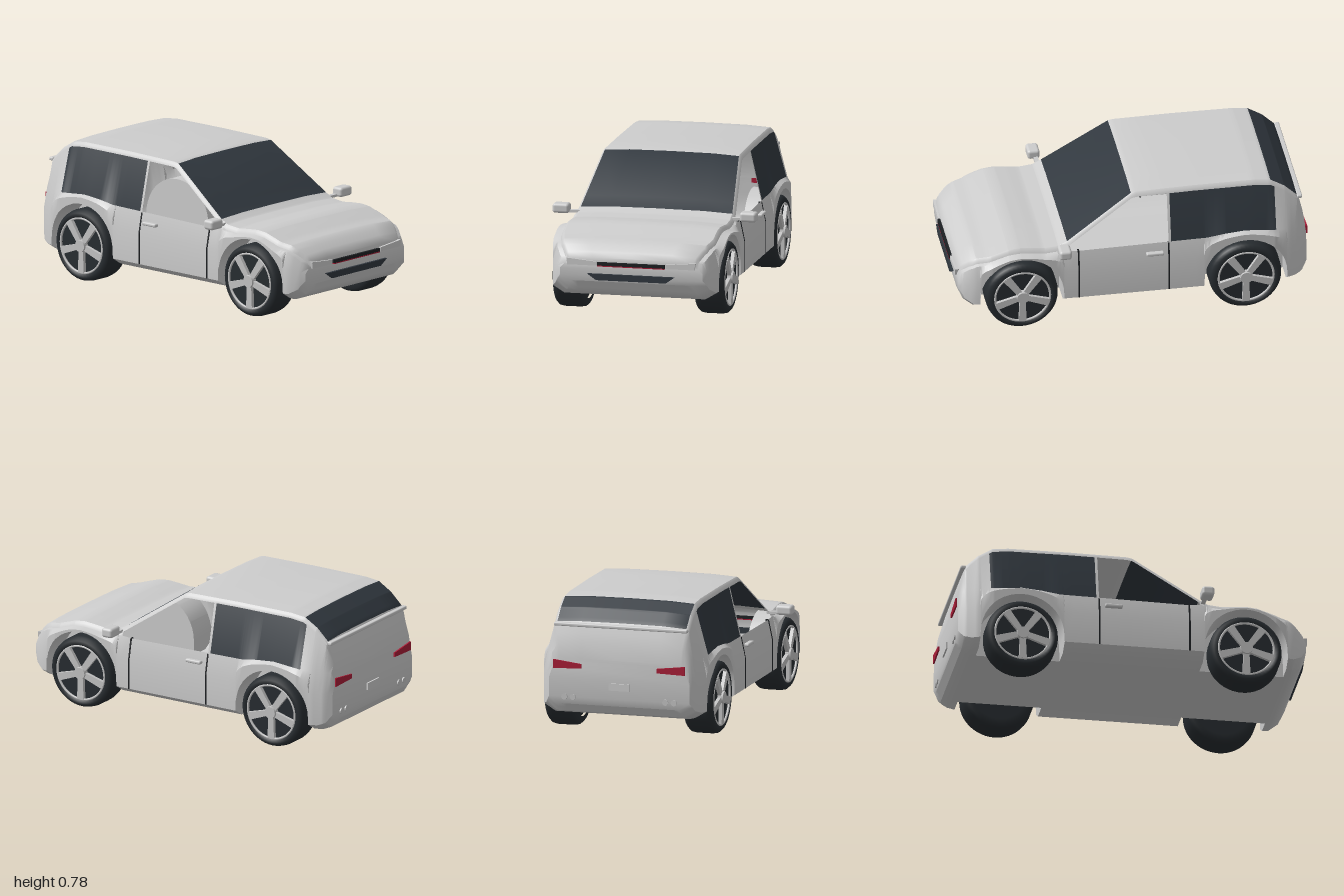
import * as THREE from 'three';
import { toCreasedNormals } from 'three/addons/utils/BufferGeometryUtils.js';
import { RoundedBoxGeometry } from 'three/addons/geometries/RoundedBoxGeometry.js';

const mat = (name, color, side = THREE.FrontSide) => {
  const m = new THREE.MeshStandardMaterial({ color, side });
  m.name = name;
  return m;
};

// Piecewise linear lookup in [x, value] pairs
const lookup = (table, x) => {
  if (x <= table[0][0]) return table[0][1];
  for (let i = 1; i < table.length; i++) {
    const [x0, v0] = table[i - 1], [x1, v1] = table[i];
    if (x <= x1) return v0 + (v1 - v0) * (x - x0) / (x1 - x0);
  }
  return table[table.length - 1][1];
};

// Body curves along the length: top line, half width, roof edge, belt line, bottom
const TOP = [[-0.99, 0.45], [-0.975, 0.54], [-0.95, 0.625], [-0.94, 0.655], [-0.87, 0.722], [-0.79, 0.77],
  [-0.7, 0.78], [-0.35, 0.781], [-0.03, 0.776], [0, 0.77], [0.37, 0.52], [0.42, 0.495], [0.5, 0.487], [0.57, 0.495],
  [0.64, 0.5], [0.7, 0.494], [0.76, 0.475], [0.82, 0.455], [0.88, 0.443], [0.92, 0.42], [0.96, 0.385], [0.98, 0.355]];
const WIDTH = [[-0.99, 0.41], [-0.95, 0.445], [-0.88, 0.475], [-0.8, 0.49], [0.8, 0.49], [0.9, 0.468], [0.95, 0.44], [0.98, 0.41]];
const ROOF = [[-0.99, 0.37], [-0.94, 0.395], [0, 0.402], [0.37, 0.452], [0.8, 0.445], [0.9, 0.42], [0.98, 0.37]];
const BELT = [[-0.9, 0.472], [-0.75, 0.485], [-0.635, 0.495], [-0.52, 0.485], [-0.42, 0.47], [0.3, 0.46], [0.37, 0.465]];
const BOTTOM = [[-0.99, 0.19], [-0.96, 0.145], [-0.92, 0.13], [0.9, 0.13], [0.95, 0.16], [0.98, 0.22]];
const AXLES = [-0.635, 0.63], ARCH = 0.235, ARCH_Y = 0.21;

// Half cross-section [z, y], from floor centre round to roof centre
function section(x) {
  const top = lookup(TOP, x), w = lookup(WIDTH, x), r = lookup(ROOF, x);
  const belt = Math.min(lookup(BELT, x), top - 0.04), base = lookup(BOTTOM, x);
  const axle = AXLES.find((a) => Math.abs(x - a) <= ARCH + 1e-6);
  const inArch = axle !== undefined;
  const low = inArch ? ARCH_Y + Math.sqrt(Math.max(0, ARCH ** 2 - (x - axle) ** 2)) : base;
  const sill = low + Math.min(0.04, (belt - low) * 0.3);
  return [[0, base], [0.31, base], [0.31, low], [inArch ? w : w - 0.065, low], [w, sill],
    [w, sill + (belt - sill) * 0.6], [w - 0.025, belt], [r, top - 0.035], [r - 0.007, top - 0.02],
    [r - 0.018, top - 0.01], [r * 0.6, top - 0.002], [0, top]];
}
const BELT_STRIP = 6, TOP_STRIP = 9;

function shellGeometry() {
  let xs = [...TOP, ...WIDTH, ...BOTTOM, ...BELT].map((k) => k[0]).concat([-0.81, -0.215, -0.2]);
  for (const a of AXLES) {
    xs.push(a - ARCH - 0.002, a + ARCH + 0.002);
    for (let i = 0; i <= 20; i++) xs.push(a - ARCH * Math.cos(Math.PI * i / 20));
  }
  xs = xs.sort((a, b) => a - b).filter((x, i, all) => i === 0 || x - all[i - 1] > 0.0005);
  const pos = [], body = [], glass = [], half = section(0).length, n = half * 2;
  for (const x of xs) {
    const s = section(x);
    for (const [z, y] of s) pos.push(x, y, z);
    for (const [z, y] of [...s].reverse()) pos.push(x, y, -z);
  }
  const quad = (list, a, b, c, d) => list.push(a, b, c, a, c, d);
  for (let i = 0; i < xs.length - 1; i++) {
    const x = (xs[i] + xs[i + 1]) / 2;
    for (let j = 0; j < n - 1; j++) {
      const k = j < half ? j : n - 2 - j;
      if (j === half - 1) continue;
      if (k === BELT_STRIP && x > -0.2 && x < 0.37) continue; // open front windows
      const sideGlass = k === BELT_STRIP && x > -0.81 && x < -0.215;
      const endGlass = k >= TOP_STRIP && ((x > 0 && x < 0.37) || (x > -0.94 && x < -0.79));
      quad(sideGlass || endGlass ? glass : body, i * n + j, (i + 1) * n + j, (i + 1) * n + j + 1, i * n + j + 1);
    }
  }
  // Flat nose and tail
  const e = (xs.length - 1) * n;
  for (let j = 0; j < half - 1; j++) {
    quad(body, e + j, e + n - 1 - j, e + n - 2 - j, e + j + 1);
    quad(body, j, j + 1, n - 2 - j, n - 1 - j);
  }
  const g = new THREE.BufferGeometry();
  g.setAttribute('position', new THREE.Float32BufferAttribute(pos, 3));
  g.setIndex([...body, ...glass]);
  g.addGroup(0, body.length, 0);
  g.addGroup(body.length, glass.length, 1);
  return toCreasedNormals(g, 0.6);
}

export function createModel() {
  const car = new THREE.Group();
  car.name = 'car';
  const silver = mat('silver body', 0xcccccc, THREE.DoubleSide);
  const glass = mat('dark glass', 0x30373e, THREE.DoubleSide);
  const rubber = mat('tyre rubber', 0x272c30);
  const alloy = mat('alloy', 0xc4c4c4);
  const black = mat('black trim', 0x1c1f22);
  const red = mat('red light', 0xa81c36);

  const add = (name, geo, material, x = 0, y = 0, z = 0, parent = car) => {
    const m = new THREE.Mesh(geo, material);
    m.name = name;
    m.position.set(x, y, z);
    parent.add(m);
    return m;
  };
  const box = (w, h, d) => new THREE.BoxGeometry(w, h, d);
  // Polygon in the z-y plane, given thickness along x and centred on it
  const plate = (pts, depth) => {
    const shape = new THREE.Shape(pts.map(([z, y]) => new THREE.Vector2(-z, y)));
    return new THREE.ExtrudeGeometry(shape, { depth, bevelEnabled: false })
      .translate(0, 0, -depth / 2).rotateY(Math.PI / 2);
  };

  add('bodyShell', shellGeometry(), [silver, glass]);

  // Wheels: tyre, dark dish, rim ring, five spokes and hub
  const tyreGeo = new THREE.LatheGeometry([[0.155, -0.085], [0.185, -0.085], [0.2, -0.07], [0.205, -0.045], [0.205, 0.045],
    [0.2, 0.07], [0.185, 0.085], [0.16, 0.085], [0.155, 0.06]].map(([r, y]) => new THREE.Vector2(r, y)), 48).rotateX(Math.PI / 2);
  const dishGeo = new THREE.CylinderGeometry(0.157, 0.157, 0.14, 40).rotateX(Math.PI / 2);
  const rimGeo = new THREE.TorusGeometry(0.156, 0.007, 8, 48);
  const hubGeo = new THREE.CylinderGeometry(0.034, 0.038, 0.035, 20).rotateX(Math.PI / 2);
  const spokeShape = new THREE.Shape([[0.02, -0.016], [0.155, -0.022], [0.155, 0.022], [0.02, 0.016]]
    .map(([x, y]) => new THREE.Vector2(x, y)));
  const spokeGeo = new THREE.ExtrudeGeometry(spokeShape, { depth: 0.02, bevelEnabled: false });
  for (const x of AXLES) for (const s of [1, -1]) {
    const wheel = new THREE.Group();
    wheel.name = (x > 0 ? 'front' : 'rear') + 'Wheel';
    wheel.position.set(x, 0.205, s * 0.405);
    if (s < 0) wheel.rotation.y = Math.PI;
    add('tyre', tyreGeo, rubber, 0, 0, 0, wheel);
    add('dish', dishGeo, rubber, 0, 0, 0, wheel);
    add('rim', rimGeo, alloy, 0, 0, 0.082, wheel);
    add('hub', hubGeo, alloy, 0, 0, 0.083, wheel);
    for (let i = 0; i < 5; i++) {
      add('spoke', spokeGeo, alloy, 0, 0, 0.07, wheel).rotation.z = -Math.PI / 2 + i * Math.PI * 0.4;
    }
    car.add(wheel);
  }

  for (const s of [1, -1]) {
    // Door seams, handle and mirror
    const seam = [[0.48, 0.17], [0.492, 0.17], [0.492, 0.345], [0.468, 0.462], [0.45, 0.462]].map(([z, y]) => [s * z, y]);
    for (const x of [-0.2, 0.31]) add('doorSeam', plate(seam, 0.009), black, x);
    add('doorHandle', new RoundedBoxGeometry(0.1, 0.02, 0.03, 2, 0.008), silver, -0.12, 0.41, s * 0.488);
    add('mirror', new RoundedBoxGeometry(0.07, 0.055, 0.095, 3, 0.016), silver, 0.4, 0.505, s * 0.537);
    add('mirrorArm', box(0.025, 0.015, 0.07), silver, 0.39, 0.487, s * 0.468);
    // Front and rear lamps, exhaust tips
    add('headlight', plate([[0.2, 0.312], [0.365, 0.312], [0.37, 0.35], [0.2, 0.335]].map(([z, y]) => [s * z, y]), 0.025),
      silver, 0.98);
    add('tailLight', plate([[0.22, 0.395], [0.385, 0.39], [0.385, 0.44], [0.22, 0.42]].map(([z, y]) => [s * z, y]), 0.009),
      red, -0.994);
    for (const z of [0.27, 0.32]) {
      add('exhaust', new THREE.CylinderGeometry(0.017, 0.017, 0.025, 20).rotateZ(Math.PI / 2), alloy, -0.985, 0.23, s * z);
    }
  }

  // Nose and tail details
  add('grilleBar', box(0.02, 0.018, 0.385), black, 0.986, 0.323, 0);
  add('noseLightStrip', box(0.02, 0.005, 0.385), red, 0.986, 0.311, 0);
  add('lowerGrille', plate([[-0.2, 0.23], [0.2, 0.23], [0.25, 0.265], [-0.25, 0.265]], 0.02), glass, 0.985);
  add('spoiler', new RoundedBoxGeometry(0.03, 0.02, 0.78, 2, 0.007), silver, -0.955, 0.635, 0);
  add('rearPlate', box(0.012, 0.04, 0.12), silver, -0.993, 0.3, 0);
  return car;
}
